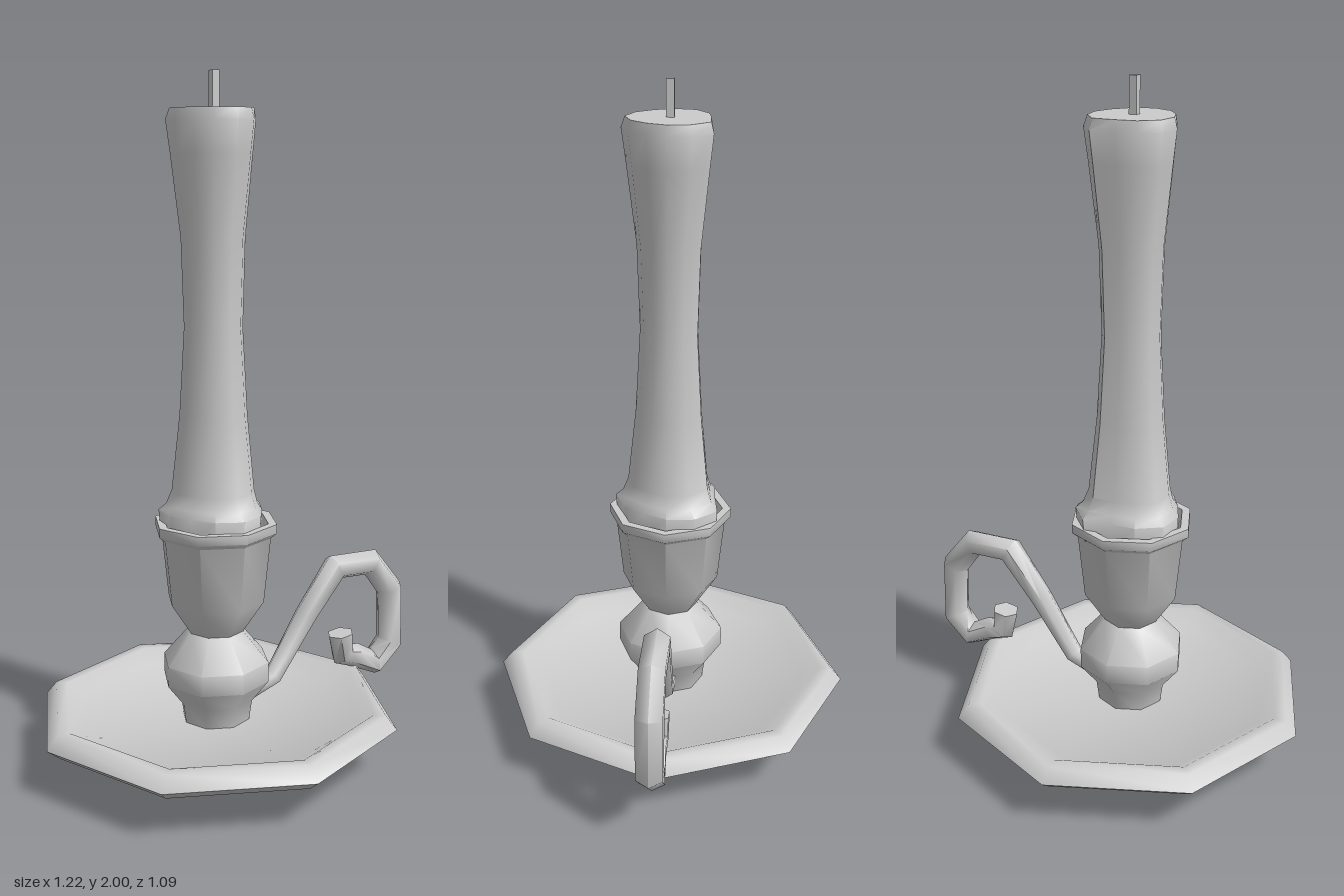
import * as THREE from 'three';
import { toCreasedNormals } from 'three/addons/utils/BufferGeometryUtils.js';

const CENTRE_X = -0.075;
const material = new THREE.MeshStandardMaterial({ color: 0xcccccc, side: THREE.DoubleSide });

function addPart(parent, name, geometry) {
  const mesh = new THREE.Mesh(geometry, material);
  mesh.name = name;
  parent.add(mesh);
  return mesh;
}

// Eight-sided turned part from [radius, height] pairs, listed bottom to top
function turned(profile, crease) {
  const points = profile.map(([r, y]) => new THREE.Vector2(r, y));
  return toCreasedNormals(new THREE.LatheGeometry(points, 8), crease);
}

// Skin over equal-sized rings of Vector3, capped at both ends
function loft(rings, crease) {
  const n = rings[0].length;
  const centre = (ring) => ring.reduce((s, p) => s.add(p), new THREE.Vector3()).divideScalar(n);
  const points = [...rings.flat(), centre(rings[0]), centre(rings.at(-1))];
  const index = [];
  const last = (rings.length - 1) * n;
  for (let j = 0; j < n; j++) {
    const k = (j + 1) % n;
    for (let i = 0; i < rings.length - 1; i++) {
      const a = i * n + j, b = i * n + k;
      index.push(a, b, b + n, a, b + n, a + n);
    }
    index.push(last + n, k, j, last + n + 1, last + j, last + k);
  }
  const geometry = new THREE.BufferGeometry().setFromPoints(points);
  geometry.setIndex(index);
  return toCreasedNormals(geometry, crease);
}

// Candle: waisted column with uneven sides, a wax run at the back and a melted foot
function candleGeometry() {
  const levels = [ // height, radius, unevenness
    [0.70, 0.145, 0.10], [0.77, 0.150, 0.10], [0.79, 0.132, 0.08], [0.83, 0.119, 0.06],
    [1.05, 0.097, 0.05], [1.30, 0.083, 0.05], [1.55, 0.090, 0.05],
    [1.78, 0.114, 0.07], [1.87, 0.124, 0.08], [1.90, 0.116, 0.06],
  ];
  const sides = 12;
  const rings = levels.map(([y, r, uneven]) => Array.from({ length: sides }, (_, j) => {
    const a = (j / sides) * Math.PI * 2;
    const run = j === 2 ? 0.12 : 0;
    const radius = r * (1 + uneven * Math.cos(3 * a - 1.6) + run);
    return new THREE.Vector3(radius * Math.cos(a), y, -radius * Math.sin(a));
  }));
  return loft(rings, 0.9);
}

// Handle: six-sided bar following a curl in the x-y plane
function handleGeometry() {
  const path = [ // x, y, radius
    [0.03, 0.18, 0.028], [0.125, 0.215, 0.03], [0.24, 0.385, 0.036], [0.35, 0.525, 0.043],
    [0.485, 0.52, 0.043], [0.56, 0.425, 0.044], [0.565, 0.245, 0.044], [0.505, 0.185, 0.042],
    [0.43, 0.222, 0.038], [0.385, 0.235, 0.04], [0.375, 0.305, 0.042],
  ];
  const centres = path.map(([x, y]) => new THREE.Vector3(x, y, 0));
  const rings = path.map(([, , r], i) => {
    const c = centres[i];
    const before = c.clone().sub(centres[Math.max(i - 1, 0)]).normalize();
    const after = centres[Math.min(i + 1, path.length - 1)].clone().sub(c).normalize();
    const t = before.add(after).normalize();
    return Array.from({ length: 6 }, (_, j) => {
      const a = (j / 6) * Math.PI * 2;
      const u = r * Math.cos(a);
      return new THREE.Vector3(c.x + t.y * u, c.y - t.x * u, -r * Math.sin(a));
    });
  });
  return loft(rings, 1.1);
}

export function createModel() {
  const model = new THREE.Group();
  model.name = 'candlestick';

  const column = new THREE.Group();
  column.name = 'column';
  column.position.x = CENTRE_X;
  model.add(column);

  // Shallow dish with a rolled rim
  addPart(column, 'dish', turned([
    [0, 0], [0.18, 0.005], [0.505, 0.115], [0.543, 0.145], [0.51, 0.185],
    [0.475, 0.185], [0.42, 0.15], [0, 0.125],
  ], 1.1));

  // Stem with a round knop and a cup for the candle
  addPart(column, 'stemAndCup', turned([
    [0.1, 0.12], [0.11, 0.19], [0.16, 0.255], [0.16, 0.315], [0.083, 0.405],
    [0.145, 0.5], [0.165, 0.695], [0.183, 0.71], [0.183, 0.737],
    [0.158, 0.737], [0.148, 0.7], [0, 0.7],
  ], 0.95));

  addPart(column, 'candle', candleGeometry());

  const wick = addPart(column, 'wick', new THREE.BoxGeometry(0.022, 0.14, 0.022));
  wick.position.y = 1.93;

  addPart(model, 'handle', handleGeometry());
  return model;
}
